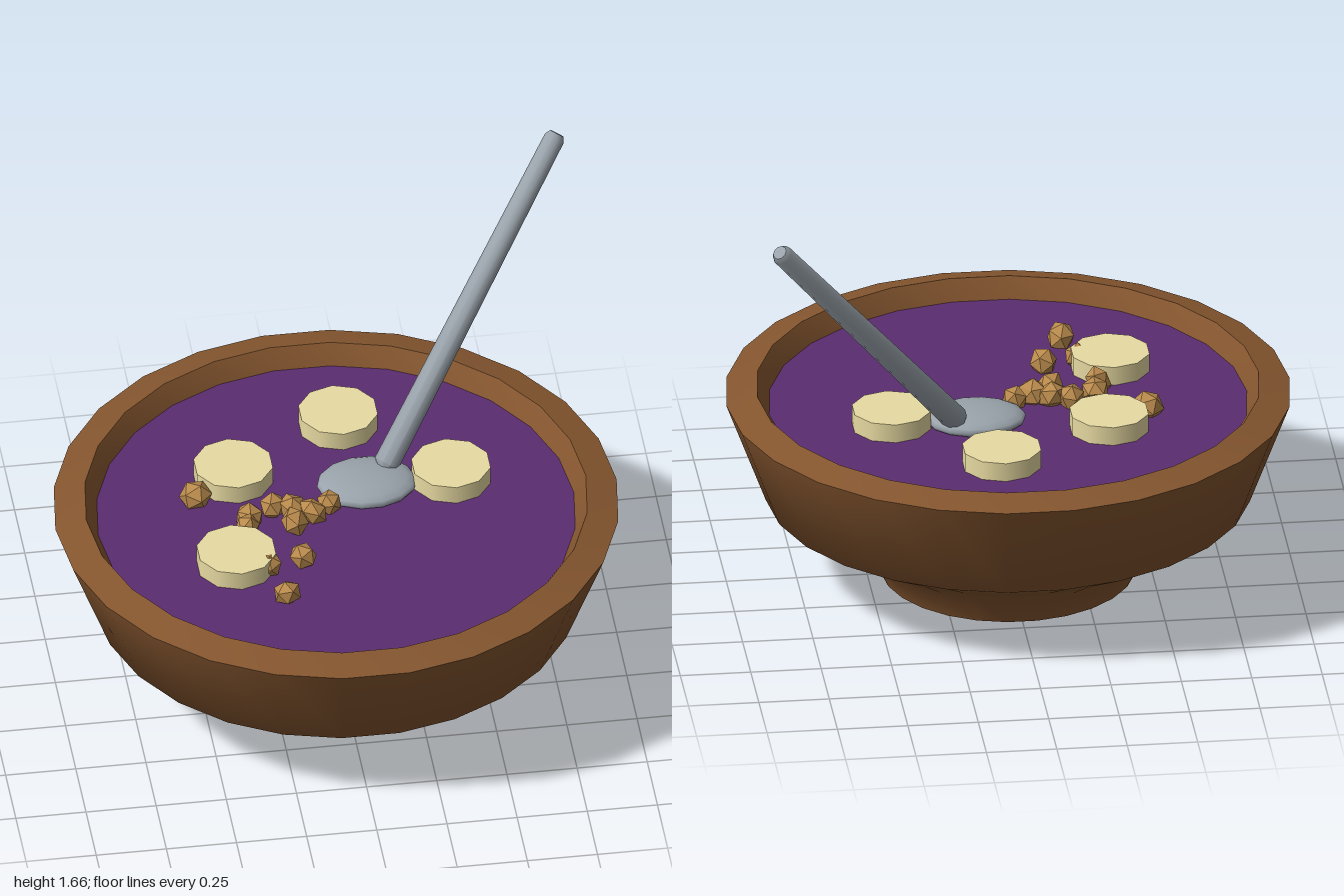
import * as THREE from 'three';
import { toCreasedNormals } from 'three/addons/utils/BufferGeometryUtils.js';

const mat = (color, extra = {}) => new THREE.MeshStandardMaterial({ color, ...extra });

// Lathe from [radius, height] pairs, sharp only where the profile turns strongly
function lathe(points, sides, crease = 0.9) {
  const profile = points.map(([r, y]) => new THREE.Vector2(r, y));
  return toCreasedNormals(new THREE.LatheGeometry(profile, sides), crease);
}

function add(parent, name, geometry, material, x = 0, y = 0, z = 0) {
  const mesh = new THREE.Mesh(geometry, material);
  mesh.name = name;
  mesh.position.set(x, y, z);
  parent.add(mesh);
  return mesh;
}

// Small seeded generator for the crumbs
function seeded(seed) {
  return () => (seed = (seed * 16807) % 2147483647) / 2147483647;
}

export function createModel() {
  const model = new THREE.Group();
  model.name = 'smoothieBowl';

  // Bowl: foot, flared wall, sloped rim and inside wall
  const bowl = add(model, 'bowl', lathe([
    [0, 0], [0.45, 0], [0.5, 0.11], [0.63, 0.19], [0.86, 0.31], [1, 0.685],
    [0.89, 0.715], [0.84, 0.63], [0.74, 0.38], [0.45, 0.22], [0, 0.2],
  ], 26), mat(0x85562f));
  bowl.rotation.y = Math.PI / 2;

  // Filling surface
  const filling = add(model, 'filling', new THREE.CircleGeometry(0.848, 26), mat(0x5b2c6f), 0, 0.643, 0);
  filling.rotation.x = -Math.PI / 2;

  // Fruit slices
  const slices = new THREE.Group();
  slices.name = 'fruitSlices';
  model.add(slices);
  const sliceGeometry = new THREE.CylinderGeometry(0.142, 0.142, 0.09, 10);
  const sliceMaterial = mat(0xe8dba2);
  for (const [x, z] of [[0.08, -0.5], [-0.33, -0.25], [0.43, -0.14], [-0.39, 0.24]]) {
    add(slices, 'fruitSlice', sliceGeometry, sliceMaterial, x, 0.667, z);
  }

  // Crunchy clusters
  const clusters = new THREE.Group();
  clusters.name = 'crunchyClusters';
  model.add(clusters);
  const random = seeded(41);
  const clusterGeometry = new THREE.IcosahedronGeometry(0.055, 0);
  const clusterMaterial = mat(0xb98a4c, { flatShading: true });
  const spots = [
    [-0.48, -0.14], [-0.22, -0.04], [-0.15, -0.02], [-0.02, -0.03], [-0.085, 0.01], [-0.31, 0.01],
    [-0.33, 0.08], [-0.155, 0.06], [-0.155, 0.26], [-0.24, 0.46], [-0.28, 0.29],
  ];
  for (const [x, z] of spots) {
    const cluster = add(clusters, 'crunchyCluster', clusterGeometry, clusterMaterial, x, 0.672, z);
    cluster.rotation.set(random() * 3, random() * 6, random() * 3);
    cluster.scale.set(0.85 + random() * 0.3, 0.8 + random() * 0.2, 0.8 + random() * 0.3);
  }

  // Spoon: flattened head and a tapering handle with a bevelled end
  const spoon = new THREE.Group();
  spoon.name = 'spoon';
  model.add(spoon);
  const metal = mat(0x9aa3ab);
  const head = add(spoon, 'spoonHead', new THREE.SphereGeometry(1, 14, 10), metal, 0.13, 0.66, -0.14);
  head.scale.set(0.178, 0.042, 0.142);

  const start = new THREE.Vector3(0.2, 0.675, -0.195);
  const along = new THREE.Vector3(0.9, 1.645, -0.775).sub(start);
  const length = along.length();
  const handle = add(spoon, 'spoonHandle', lathe([
    [0, 0], [0.03, 0], [0.046, 0.02], [0.037, length - 0.02], [0.026, length], [0, length],
  ], 10, 0.8), metal);
  handle.position.copy(start);
  handle.quaternion.setFromUnitVectors(new THREE.Vector3(0, 1, 0), along.normalize());

  return model;
}
